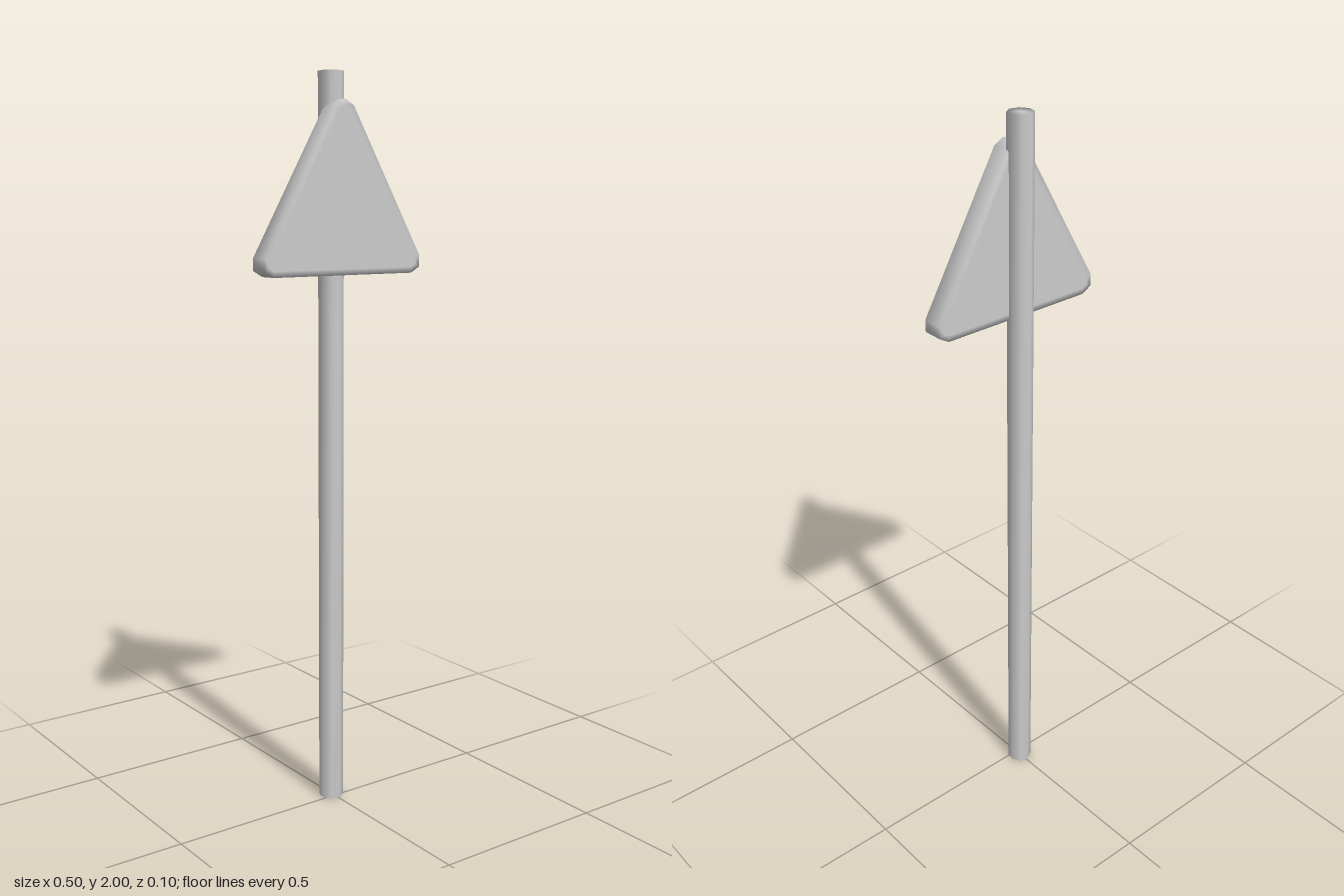
import * as THREE from 'three';
import { mergeVertices } from 'three/addons/utils/BufferGeometryUtils.js';

const material = new THREE.MeshStandardMaterial({ color: 0xcccccc });

// Outline of a triangle with its corners cut in two steps
function outline(cornerRadius) {
  const points = [];
  for (let corner = 0; corner < 3; corner++) {
    const a = Math.PI / 2 + corner * Math.PI * 2 / 3;
    for (const turn of [-1, 0, 1]) {
      const b = a + turn * Math.PI / 3;
      points.push([
        0.257 * Math.cos(a) + cornerRadius * Math.cos(b),
        1.638 + 0.257 * Math.sin(a) + cornerRadius * Math.sin(b),
      ]);
    }
  }
  return points;
}

// Plate skinned through loops, from the back centre to the front centre
function plateGeometry(back, front) {
  const loops = [[0.016, back], [0.032, back], [0.032, front], [0.016, front]];
  const positions = [0, 1.638, back];
  const index = [];
  for (const [radius, z] of loops) {
    for (const [x, y] of outline(radius)) positions.push(x, y, z);
  }
  const n = 9;
  const last = 1 + loops.length * n;
  positions.push(0, 1.638, front);
  for (let i = 0; i < n; i++) {
    const j = (i + 1) % n;
    index.push(0, 1 + j, 1 + i);
    for (let k = 0; k < loops.length - 1; k++) {
      const a = 1 + k * n + i, b = 1 + k * n + j;
      index.push(a, b, b + n, a, b + n, a + n);
    }
    index.push(last, last - n + i, last - n + j);
  }
  const geometry = new THREE.BufferGeometry();
  geometry.setAttribute('position', new THREE.Float32BufferAttribute(positions, 3));
  geometry.setIndex(index);
  geometry.computeVertexNormals();
  return geometry;
}

// Eight-sided pole, shaded smoothly across its ends
function poleGeometry() {
  const geometry = new THREE.CylinderGeometry(0.034, 0.034, 2, 8, 1, false, THREE.MathUtils.degToRad(10));
  geometry.deleteAttribute('normal');
  geometry.deleteAttribute('uv');
  const welded = mergeVertices(geometry, 1e-4);
  welded.computeVertexNormals();
  return welded;
}

export function createModel() {
  const model = new THREE.Group();
  model.name = 'roadSign';

  const pole = new THREE.Mesh(poleGeometry(), material);
  pole.name = 'pole';
  pole.position.set(-0.001, 1, -0.015);
  model.add(pole);

  const plate = new THREE.Mesh(plateGeometry(-0.008, 0.047), material);
  plate.name = 'signPlate';
  model.add(plate);

  return model;
}
